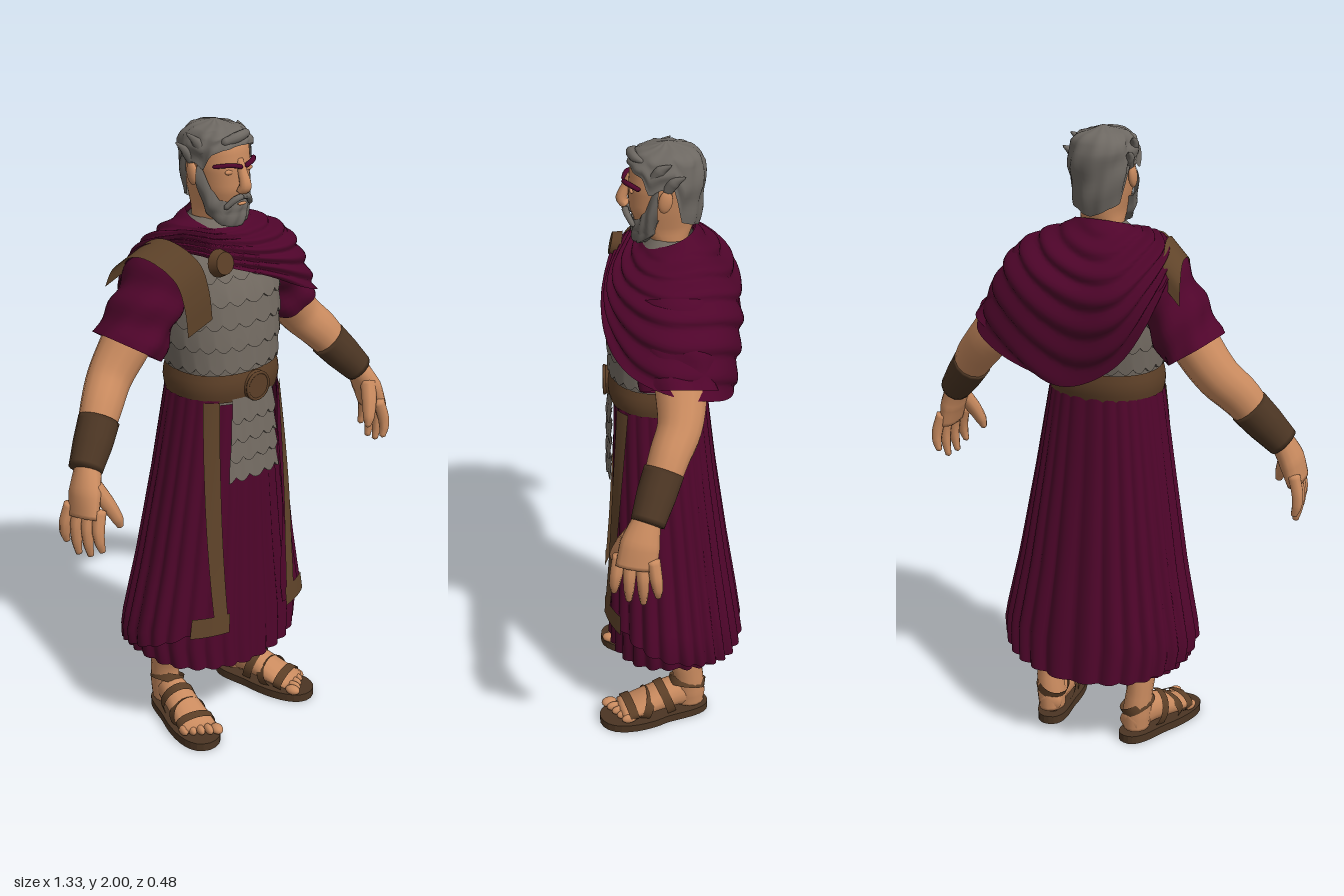
import * as THREE from 'three';

const V = (x, y, z) => new THREE.Vector3(x, y, z);
const mat = (name, color) => {
  const m = new THREE.MeshStandardMaterial({ color, side: THREE.DoubleSide });
  m.name = name;
  return m;
};

// Grid surface from a rule fn(u, v) -> Vector3
function surf(nu, nv, fn, closed = false) {
  const pos = [], idx = [], cols = closed ? nu : nu + 1;
  for (let j = 0; j <= nv; j++)
    for (let i = 0; i < cols; i++) pos.push(...fn(i / nu, j / nv).toArray());
  for (let j = 0; j < nv; j++)
    for (let i = 0; i < nu; i++) {
      const a = j * cols + i, b = j * cols + (i + 1) % cols;
      idx.push(a, b, b + cols, a, b + cols, a + cols);
    }
  const g = new THREE.BufferGeometry();
  g.setAttribute('position', new THREE.Float32BufferAttribute(pos, 3));
  g.setIndex(idx);
  g.computeVertexNormals();
  return g;
}

// Interpolates rows of [key, values...] in ascending key order
function look(table, k) {
  let i = 0;
  while (i < table.length - 2 && k > table[i + 1][0]) i++;
  const a = table[i], b = table[i + 1];
  const t = THREE.MathUtils.clamp((k - a[0]) / (b[0] - a[0]), 0, 1);
  return a.slice(1).map((v, n) => v + (b[n + 1] - v) * t);
}

// Point on an oval body whose table rows are [y, halfWidth, front z, back z]; angle 0 is the front
function oval(table, a, y, off = 0) {
  const [rx, zf, zb] = look(table, y);
  const p = (v) => Math.sign(v) * Math.abs(v) ** 0.88;
  return V((rx + off) * p(Math.sin(a)), y, (zf + zb) / 2 + ((zf - zb) / 2 + off) * p(Math.cos(a)));
}

// Capped limb through rows [x, y, z, r1, r2]; r2 is measured along the ref axis
function limb(rows, ref = V(0, 0, 1), n = 14) {
  const curve = new THREE.CatmullRomCurve3(rows.map((r) => V(r[0], r[1], r[2])));
  const radii = rows.map((r, i) => [i / (rows.length - 1), r[3], r[4] ?? r[3]]);
  const nv = rows.length * 4;
  return surf(n, nv + 2, (u, v) => {
    const j = Math.round(v * (nv + 2)), t = THREE.MathUtils.clamp((j - 1) / nv, 0, 1);
    const c = curve.getPoint(t), T = curve.getTangent(t);
    if (j === 0 || j === nv + 2) return c.addScaledVector(T, j ? 0.006 : -0.006);
    const N = V().crossVectors(T, ref).normalize(), B = V().crossVectors(N, T).normalize();
    const [r1, r2] = look(radii, t), a = u * Math.PI * 2;
    return c.addScaledVector(N, Math.cos(a) * r1).addScaledVector(B, Math.sin(a) * r2);
  }, true);
}

const TORSO = [[1.14, .172, .182, -.105], [1.25, .17, .182, -.11], [1.36, .185, .186, -.14], [1.5, .19, .178, -.155],
  [1.6, .185, .14, -.14], [1.67, .12, .09, -.09], [1.72, .06, .05, -.06]];
const SKIRT = [[.24, .295, .205, -.222], [.36, .312, .2, -.206], [.6, .262, .19, -.17], [.9, .212, .184, -.13], [1.18, .168, .178, -.1]];
const HEAD = [[1.62, .075, .055, -.06], [1.7, .066, .06, -.055], [1.74, .066, .1, -.07], [1.8, .078, .122, -.082], [1.87, .087, .124, -.09],
  [1.93, .086, .117, -.09], [1.96, .075, .1, -.08], [1.98, .053, .07, -.055], [1.99, .015, .03, -.02]];

export function createModel() {
  const root = new THREE.Group();
  const skin = mat('skin', 0xca8b5f), cloth = mat('wine cloth', 0x4f052b), armor = mat('scale armor', 0x726a61),
    hair = mat('grey hair', 0x6d6862), leather = mat('belt leather', 0x5c3f27), trim = mat('skirt trim', 0x60442a),
    bracer = mat('bracer leather', 0x4b3523);
  const add = (name, geo, m, parent = root) => {
    const o = new THREE.Mesh(geo, m);
    o.name = name;
    parent.add(o);
    return o;
  };
  const ball = (name, m, x, y, z, sx, sy, sz, parent) => {
    const o = add(name, new THREE.SphereGeometry(1, 14, 10), m, parent);
    o.position.set(x, y, z);
    o.scale.set(sx, sy, sz);
    return o;
  };
  const TAU = Math.PI * 2;

  // Scale rows: each flares outward to a scalloped hem and turns back in beneath it
  const scaleRow = (name, at, y0, y1, n, shift) => {
    const hem = (u) => y1 - 0.018 * Math.abs(Math.sin((u * n + shift) * Math.PI));
    add(name, surf(n * 8, 2, (u, v) => at(u, y0 + (hem(u) - y0) * v, 0.003 + 0.009 * v)), armor);
    add(name + 'Edge', surf(n * 8, 1, (u, v) => at(u, hem(u), 0.012 - 0.01 * v)), armor);
  };
  add('torso', surf(48, 16, (u, v) => oval(TORSO, u * TAU, 1.15 + 0.56 * v), true), armor);
  for (let i = 0; i < 5; i++)
    scaleRow('chestScales', (u, y, o) => oval(TORSO, u * TAU, y, o), 1.635 - i * .072, 1.56 - i * .072, 22, i % 2 / 2);
  for (let i = 0; i < 4; i++)
    scaleRow('apronScales', (u, y, o) => oval(SKIRT, (u - .5) * .84, y, .01 + o), 1.17 - i * .064, 1.105 - i * .064, 4, i % 2 / 2);

  // Belt and round buckle
  add('belt', surf(48, 4, (u, v) => oval(TORSO, u * TAU, 1.16 + .09 * v, .006 + .008 * Math.sin(v * Math.PI)), true), leather);
  const buckle = add('buckle', new THREE.CylinderGeometry(.042, .049, .022, 20), leather);
  buckle.rotation.x = Math.PI / 2;
  buckle.position.set(0, 1.2, .195);
  add('buckleRim', new THREE.TorusGeometry(.043, .005, 8, 24), leather).position.set(0, 1.2, .204);

  // Pleated underskirt and open overskirt
  const pleat = (a, t, n) => (Math.abs(Math.sin(a * n / 2 + Math.sin(a * 3) * .8)) - .5) * (.004 + .013 * t);
  const UNDER = [[0, .235], [.6, .25], [1.57, .28], [3.15, .25]], OVER = [[0, .39], [.8, .39], [1.57, .32], [2.4, .265], [3.15, .245]];
  add('underskirt', surf(192, 12, (u, v) => {
    const a = u * TAU, low = look(UNDER, Math.min(a, TAU - a))[0];
    return oval(SKIRT, a, 1.17 + (low - 1.17) * v, pleat(a, v, 28) - .005);
  }, true), cloth);
  const edge = (v) => THREE.MathUtils.lerp(.68, .35, v);
  add('overskirt', surf(220, 16, (u, v) => {
    const a0 = edge(v), a = a0 + u * (TAU - 2 * a0);
    const y = 1.17 + (look(OVER, Math.min(a, TAU - a))[0] - 1.17) * v;
    return oval(SKIRT, a, y, .012 + pleat(a, v, 28));
  }), cloth);
  for (const s of [1, -1]) {
    add('verticalTrim', surf(6, 16, (u, v) =>
      oval(SKIRT, s * (edge(v) - .01 + u * (.32 - .17 * v)), 1.165 - .777 * v, .018 + .012 * v)), trim);
    add('hemTrim', surf(12, 2, (u, v) => oval(SKIRT, s * (.34 + u * .46), .388 + .066 * v, .03)), trim);
  }

  // Cloak: neckline, shoulder and hem loops joined with draped folds
  const shoulder = [[-.08, 1.645, .12], [.04, 1.61, .165], [.14, 1.6, .16], [.23, 1.605, .1], [.285, 1.6, 0], [.25, 1.58, -.12],
    [.15, 1.55, -.19], [0, 1.53, -.205], [-.13, 1.55, -.195], [-.2, 1.6, -.13], [-.225, 1.65, -.04], [-.17, 1.675, .04], [-.12, 1.665, .09]];
  const hem = [[-.11, 1.6, .165], [.06, 1.535, .2], [.2, 1.465, .19], [.33, 1.41, .12], [.4, 1.38, 0], [.36, 1.34, -.13],
    [.2, 1.27, -.19], [.03, 1.23, -.18], [-.13, 1.31, -.185], [-.23, 1.46, -.165], [-.265, 1.59, -.08], [-.23, 1.64, .03], [-.15, 1.63, .12]];
  const angles = [-.4, .3, .8, 1.2, 1.57, 2, 2.5, 3.14, 3.7, 4.2, 4.7, 5.2, 5.6];
  const neck = angles.map((a) => [.086 * Math.sin(a), 1.705 - .025 * Math.cos(a), .004 + .08 * Math.cos(a)]);
  const loops = [neck, shoulder, hem].map((l) => new THREE.CatmullRomCurve3(l.map((p) => V(...p)), true, 'catmullrom'));
  add('cloak', surf(96, 48, (u, v) => {
    const p = new THREE.CatmullRomCurve3(loops.map((l) => l.getPoint(u))).getPoint(v);
    const out = V(p.x, (p.y - 1.45) * .6, p.z).normalize();
    const fold = (v * 6.2 + .55 * Math.sin(u * TAU + .6) + .25 * Math.sin(u * TAU * 3) + 2) % 1;
    return p.addScaledVector(out, .016 * (Math.sin(fold ** 1.6 * Math.PI) - .35) * Math.min(1, v * 4));
  }, true), cloth);

  // Brooch and shoulder strap on the right
  const brooch = add('brooch', new THREE.CylinderGeometry(.034, .043, .03, 18), leather);
  brooch.rotation.x = 1.35;
  brooch.position.set(-.115, 1.612, .165);
  const strapPath = new THREE.CatmullRomCurve3([V(-.188, 1.42, .15), V(-.198, 1.51, .147), V(-.212, 1.59, .125), V(-.235, 1.638, .06),
    V(-.252, 1.645, -.02), V(-.275, 1.595, -.09), V(-.285, 1.535, -.115)]);
  add('shoulderStrap', surf(6, 24, (u, v) =>
    strapPath.getPoint(v).add(V((u - .5) * .07, (u - .5) * .05, (u - .5) * .03))), trim);

  // Arms, sleeves, bracers and hands
  for (const s of [1, -1]) {
    const arm = new THREE.Group();
    arm.name = s > 0 ? 'leftArm' : 'rightArm';
    root.add(arm);
    const L = (rows, ref, n) => limb(rows.map(([x, ...r]) => [x * s, ...r]), ref, n);
    add('arm', L([[.22, 1.53, -.02, .07], [.325, 1.37, -.025, .076, .08], [.4, 1.275, -.02, .07, .068], [.46, 1.21, .012, .066, .062],
      [.52, 1.13, .045, .054], [.578, 1.06, .076, .036, .042]]), skin, arm);
    const sleevePath = new THREE.LineCurve3(V(.19 * s, 1.575, -.01), V(.325 * s, 1.348, -.025));
    add('sleeve', surf(48, 16, (u, v) => {
      const a = u * TAU, c = sleevePath.getPoint(v);
      const r = .09 + .006 * v + .006 * Math.sin(a * 6 + v * 7) * v + .006 * Math.sin(v * 14 + a);
      return c.add(V(.83 * s * Math.cos(a) * r, .55 * Math.cos(a) * r, Math.sin(a) * (r + .022)));
    }, true), cloth, arm);
    add('bracer', L([[.485, 1.175, .028, .064, .062], [.53, 1.12, .052, .06], [.582, 1.058, .078, .05, .052]]), bracer, arm);
    add('palm', L([[.572, 1.07, .078, .036, .042], [.602, 1.0, .1, .038, .06], [.622, .93, .112, .028, .063]]), skin, arm);
    for (let i = 0; i < 4; i++) {
      const z = .062 + .033 * i, x = .632 - .01 * i, e = [.03, 0, .005, .03][i], spread = (i - 1.3) * .006;
      add('finger', L([[x - .004, .96, z, .02], [x + .012, .9, z + spread, .019],
        [x + .012, .85 + e * .5, z + spread * 1.5, .016], [x + .004, .805 + e, z + spread * 1.7, .01]], V(0, 0, 1), 8), skin, arm);
    }
    add('thumb', L([[.585, 1.02, .125, .027], [.56, .965, .155, .024], [.542, .92, .172, .019], [.534, .893, .176, .01]], V(0, 0, 1), 8), skin, arm);
  }

  // Legs and sandalled feet
  const outline = new THREE.Shape();
  outline.moveTo(0, .065);
  outline.bezierCurveTo(.06, .065, .05, -.03, .06, -.09);
  outline.bezierCurveTo(.085, -.16, .09, -.3, 0, -.305);
  outline.bezierCurveTo(-.085, -.305, -.075, -.16, -.06, -.09);
  outline.bezierCurveTo(-.05, -.03, -.06, .065, 0, .065);
  for (const s of [1, -1]) {
    add('leg', limb([[.16 * s, .5, -.02, .058, .066], [.167 * s, .28, -.035, .045, .064], [.165 * s, .17, -.055, .042, .05],
      [.158 * s, .09, -.06, .046, .052], [.156 * s, .04, -.06, .042, .05]]), skin);
    const foot = new THREE.Group();
    foot.name = s > 0 ? 'leftFoot' : 'rightFoot';
    foot.position.set(.155 * s, 0, -.058);
    foot.rotation.y = .25 * s;
    root.add(foot);
    const plate = new THREE.ExtrudeGeometry(outline, { depth: .027, bevelEnabled: false, curveSegments: 10 });
    add('sole', plate.rotateX(-Math.PI / 2), bracer, foot);
    add('footBody', limb([[0, .062, -.042, .035, .034], [0, .085, .03, .058, .045], [0, .075, .1, .046, .053], [0, .055, .18, .03, .06],
      [0, .045, .235, .018, .058]], V(1, 0, 0)), skin, foot);
    for (let i = 0; i < 5; i++)
      ball('toe', skin, s * (-.048 + .025 * i), .042, .262 - .011 * i, i ? .013 : .019, .016, .026, foot);
    const straps = [[.205, .05, .064, .034, .2], [.15, .055, .061, .052, -.35], [.085, .068, .057, .066, .3], [.005, .12, .053, .062, 1.3]];
    for (const [z, y, rx, ry, tilt] of straps) {
      const o = add('sandalStrap', new THREE.CylinderGeometry(1, 1, .03, 24, 1, true).rotateX(Math.PI / 2).scale(rx, ry, 1), leather, foot);
      o.position.set(0, y, z);
      o.rotation.set(tilt, tilt * .3 * s, 0);
    }
  }

  // Head, ears, nose, eyes and wine-coloured brows
  const head = new THREE.Group();
  head.name = 'head';
  root.add(head);
  add('face', surf(32, 28, (u, v) => oval(HEAD, u * TAU, 1.62 + .37 * v), true), skin, head);
  add('nose', limb([[0, 1.895, .113, .012, .013], [0, 1.86, .129, .014, .015], [0, 1.82, .142, .018, .02], [0, 1.803, .132, .015, .024]], V(1, 0, 0), 10), skin, head);
  for (const s of [1, -1]) {
    ball('ear', skin, .096 * s, 1.85, .015, .012, .036, .021, head).rotation.x = -.2;
    ball('eyelid', skin, .038 * s, 1.862, .113, .017, .008, .007, head);
    add('brow', limb([[.01 * s, 1.878, .135, .007, .008], [.042 * s, 1.886, .126, .007, .009], [.08 * s, 1.882, .092, .006, .008]], V(0, 0, 1), 8), cloth, head);
    add('moustache', limb([[.003 * s, 1.786, .132, .009, .011], [.025 * s, 1.78, .127, .01], [.05 * s, 1.755, .11, .008]], V(0, 0, 1), 8), hair, head);
  }
  ball('lip', skin, 0, 1.763, .128, .018, .005, .006, head);

  // Beard wrapping the jaw up into the sideburns
  const TOP = [[0, 1.768], [.45, 1.768], [.8, 1.778], [1.1, 1.81], [1.25, 1.86], [1.5, 1.9]], LOW = [[0, 1.68], [.6, 1.69], [1.2, 1.725], [1.5, 1.79]];
  add('beard', surf(48, 14, (u, v) => {
    const a = (u - .5) * 2.9, m = Math.abs(a), y = look(TOP, m)[0] * (1 - v) + look(LOW, m)[0] * v;
    const p = oval(HEAD, a, Math.max(y, 1.735), .004 + .017 * Math.sin(v * 2.6) + .003 * Math.sin(a * 14 + v * 6));
    p.y = y;
    return v === 1 ? p.multiply(V(.6, 1, .75)) : p;
  }), hair, head);

  // Swept hair cap with side and front locks
  const LINE = [[0, 1.94], [.6, 1.932], [1, 1.915], [1.25, 1.865], [1.45, 1.885], [1.75, 1.89], [2, 1.775], [3.15, 1.735]];
  add('hairCap', surf(72, 18, (u, v) => {
    const a = u * TAU, low = look(LINE, Math.min(a, TAU - a))[0];
    if (v === 0) return V(0, 2, .01);
    const lock = .003 * Math.sin(a * 11 + v * 7) + .003 * Math.sin(v * 16 + a * 2);
    return oval(HEAD, a, 1.99 + (low - 1.99) * v ** 1.5, .013 + lock);
  }, true), hair, head);
  for (const [x, y, z] of [[.085, 1.945, .03], [-.085, 1.945, .03], [.09, 1.91, -.01], [-.09, 1.91, -.01]])
    add('sideLock', limb([[x, y - .03, z + .02, .012, .016], [x * 1.08, y, z, .014, .018], [x * 1.2, y + .022, z - .03, .004]], V(0, 0, 1), 8), hair, head);
  add('frontLock', limb([[-.05, 1.95, .1, .012], [-.01, 1.962, .113, .016], [.035, 1.965, .103, .014], [.06, 1.96, .08, .006]], V(0, 0, 1), 10), hair, head);
  return root;
}
